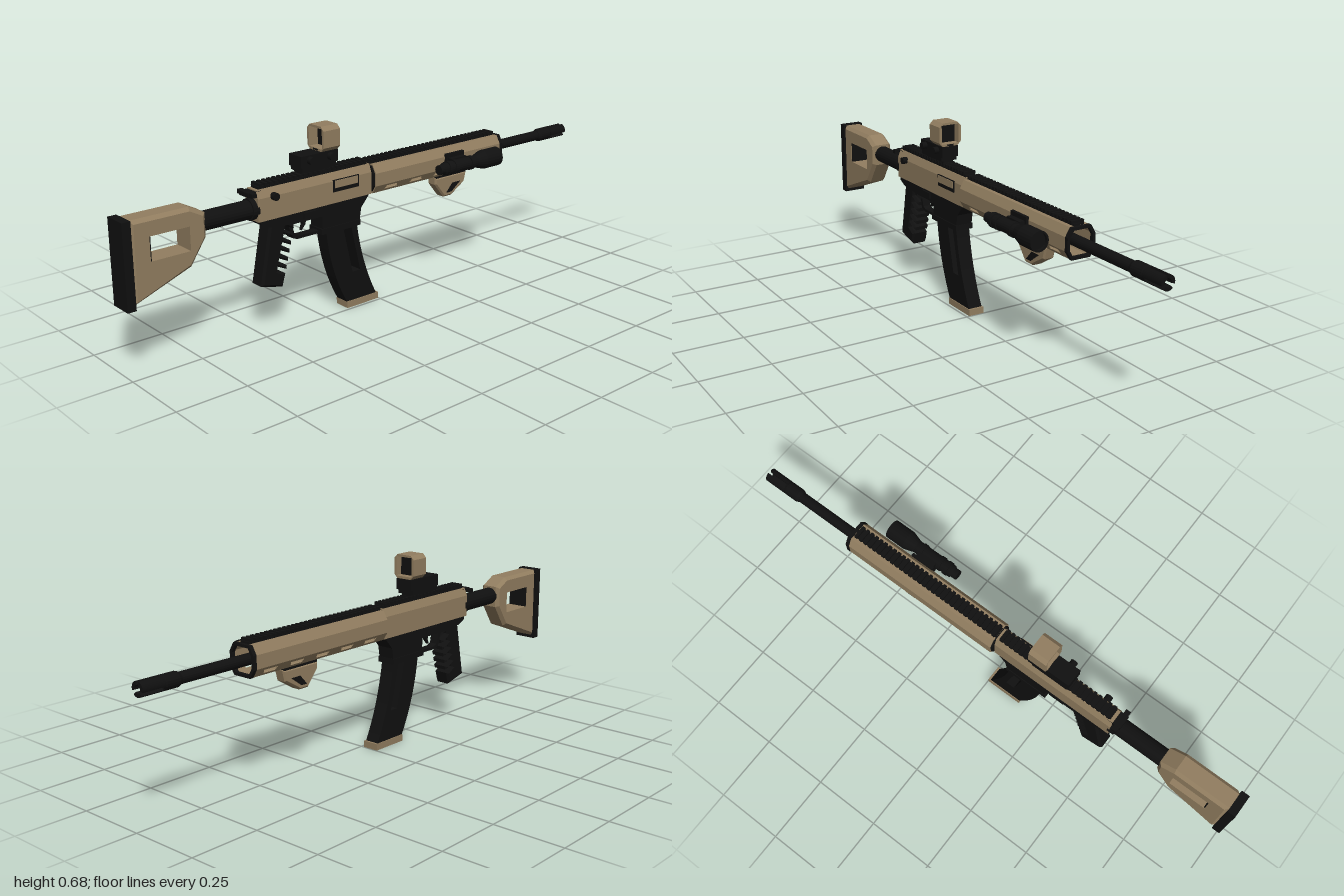
import * as THREE from 'three';

const tan = new THREE.MeshStandardMaterial({ color: 0x927e60, side: THREE.DoubleSide });
tan.name = 'tan polymer';
const black = new THREE.MeshStandardMaterial({ color: 0x101010, side: THREE.DoubleSide });
black.name = 'black metal';

const toShape = (pts) => new THREE.Shape(pts.map((p) => new THREE.Vector2(p[0], p[1])));

export function createModel() {
  const model = new THREE.Group();
  model.name = 'rifle';
  const body = new THREE.Group();
  body.name = 'body';
  body.position.x = -0.041;
  model.add(body);

  const add = (name, geo, mat, x = 0, y = 0, z = 0) => {
    const m = new THREE.Mesh(geo, mat);
    m.name = name;
    m.position.set(x, y, z);
    body.add(m);
    return m;
  };
  const box = (name, mat, w, h, d, x, y, z) => add(name, new THREE.BoxGeometry(w, h, d), mat, x, y, z);

  // side profile in (z, y), extruded across x
  const sideGeo = (pts, width, holes = [], bevel = 0) => {
    const s = toShape(pts);
    holes.forEach((h) => s.holes.push(toShape(h)));
    const depth = width - 2 * bevel;
    const g = new THREE.ExtrudeGeometry(s, {
      depth, bevelEnabled: bevel > 0, bevelSize: bevel, bevelThickness: bevel, bevelOffset: -bevel, bevelSegments: 1,
    });
    return g.translate(0, 0, -depth / 2).rotateY(-Math.PI / 2);
  };
  // cross-section in (x, y), extruded from z0 to z1
  const along = (shape, z0, z1) =>
    new THREE.ExtrudeGeometry(shape, { depth: z1 - z0, bevelEnabled: false, curveSegments: 8 }).translate(0, 0, z0);
  // turned part along z, profile as [radius, z]
  const turned = (name, pts, mat, x, y, seg = 20) => {
    const g = new THREE.LatheGeometry(pts.map((p) => new THREE.Vector2(p[0], p[1])), seg).rotateX(Math.PI / 2);
    const m = add(name, g.toNonIndexed(), mat, x, y, 0);
    m.geometry.computeVertexNormals();
  };
  const rod = (name, r, z0, z1, mat, x, y) =>
    turned(name, [[0, z0], [r, z0], [r, z1], [0, z1]], mat, x, y);

  // stock: chamfered shell with a sharp-edged window
  const stock = sideGeo(
    [[0.972, 0.238], [0.972, 0.51], [0.765, 0.51], [0.708, 0.48], [0.708, 0.40], [0.765, 0.315]], 0.08,
    [[[0.77, 0.37], [0.91, 0.37], [0.91, 0.45], [0.77, 0.45]]], 0.012);
  const p = stock.attributes.position;
  for (let i = 0; i < p.count; i++) {
    const y = p.getY(i), z = p.getZ(i);
    if (z > 0.755 && z < 0.925 && y > 0.355 && y < 0.465) {
      p.setY(i, THREE.MathUtils.clamp(y, 0.37, 0.45));
      p.setZ(i, THREE.MathUtils.clamp(z, 0.77, 0.91));
    }
  }
  stock.computeVertexNormals();
  add('stock', stock, tan);
  box('stockWindowEnd', black, 0.076, 0.08, 0.004, 0, 0.41, 0.908);
  box('buttPad', black, 0.084, 0.285, 0.03, 0, 0.3695, 0.985);
  rod('bufferTube', 0.032, 0.51, 0.72, black, 0, 0.442);
  rod('bufferRing', 0.037, 0.505, 0.53, black, 0, 0.442);

  // upper receiver
  add('upperReceiver', along(toShape([
    [-0.035, 0.402], [0.035, 0.402], [0.035, 0.48], [0.023, 0.508], [-0.023, 0.508], [-0.035, 0.48],
  ]), 0.035, 0.512), tan);
  box('ejectionPort', black, 0.006, 0.042, 0.112, 0.035, 0.463, 0.15);
  box('ejectionCover', tan, 0.008, 0.026, 0.1, 0.036, 0.469, 0.15);
  add('assistKnob', new THREE.CylinderGeometry(0.013, 0.013, 0.02, 12).rotateZ(Math.PI / 2), black, 0.042, 0.48, 0.45);
  box('chargingHandle', black, 0.05, 0.015, 0.05, 0, 0.497, 0.518);
  box('chargingLatch', black, 0.085, 0.014, 0.018, 0, 0.497, 0.53);

  // lower receiver, trigger and guard
  add('lowerReceiver', sideGeo([
    [0.505, 0.415], [0.5, 0.39], [0.47, 0.375], [0.37, 0.365], [0.25, 0.365], [0.25, 0.30],
    [0.09, 0.30], [0.08, 0.36], [0.045, 0.40], [0.045, 0.415],
  ], 0.064), black);
  box('magazineWellBand', black, 0.07, 0.02, 0.17, 0, 0.31, 0.17);
  [-1, 1].forEach((s) => box('controlPlate', black, 0.006, 0.02, 0.06, s * 0.034, 0.385, 0.3));
  add('triggerGuard', sideGeo([
    [0.385, 0.37], [0.365, 0.31], [0.345, 0.302], [0.245, 0.302], [0.245, 0.312], [0.34, 0.312], [0.355, 0.32], [0.37, 0.37],
  ], 0.03), black);
  add('trigger', sideGeo([[0.32, 0.37], [0.3, 0.37], [0.303, 0.345], [0.32, 0.325], [0.313, 0.345]], 0.014), black);

  // pistol grip with slanted finger grooves
  const grip = [[0.37, 0.385], [0.465, 0.385], [0.505, 0.175], [0.418, 0.153]];
  for (let i = 0; i < 6; i++) {
    const y = 0.205 + i * 0.027, z = 0.41 - i * 0.007;
    grip.push([z - 0.005, y - 0.007], [z + 0.028, y + 0.012], [z + 0.026, y + 0.024], [z - 0.01, y + 0.007]);
  }
  add('pistolGrip', sideGeo(grip, 0.064, [], 0.008), black);

  // curved magazine with a through slot
  const v = (x, y) => new THREE.Vector2(x, y);
  const back = new THREE.QuadraticBezierCurve(v(0.232, 0.31), v(0.215, 0.15), v(0.142, 0.02)).getPoints(8);
  const front = new THREE.QuadraticBezierCurve(v(0.008, 0.02), v(0.075, 0.15), v(0.097, 0.31)).getPoints(8);
  const outline = [...back, ...front].map((q) => [q.x, q.y]);
  const slot = [[0.155, 0.295], [0.12, 0.295], [0.082, 0.13], [0.117, 0.13]];
  add('magazine', sideGeo(outline, 0.054, [slot]), black);
  box('magazineBase', tan, 0.06, 0.024, 0.142, 0, 0.012, 0.073);

  // hollow octagonal handguard, slots in the lower chamfers
  const oct = [[-0.035, 0.402], [0.035, 0.402], [0.052, 0.43], [0.052, 0.476], [0.035, 0.505],
    [-0.035, 0.505], [-0.052, 0.476], [-0.052, 0.43]];
  oct.forEach((a, i) => {
    const b = oct[(i + 1) % 8];
    const w = Math.hypot(b[0] - a[0], b[1] - a[1]), len = 0.62;
    const s = toShape([[0, 0], [len, 0], [len, w], [0, w]]);
    if (i === 1 || i === 7) {
      for (let k = 0; k < 5; k++) {
        const z = 0.05 + k * 0.118;
        s.holes.push(toShape([[z, 0.01], [z + 0.06, 0.01], [z + 0.055, w - 0.008], [z + 0.005, w - 0.008]]));
      }
    }
    const g = new THREE.ExtrudeGeometry(s, { depth: 0.004, bevelEnabled: false }).translate(0, 0, -0.004);
    g.rotateY(Math.PI / 2).translate(0, 0, 0.03); // length runs toward -z, width along y, outside faces +x
    g.rotateZ(Math.atan2(b[1] - a[1], b[0] - a[0]) - Math.PI / 2).translate(a[0], a[1], 0);
    add('handguardPanel', g, tan);
  });
  const ring = (scale) => oct.map(([x, y]) => [x * scale, 0.4535 + (y - 0.4535) * scale]);
  const rim = toShape(ring(1.02));
  rim.holes.push(toShape(ring(0.84)));
  add('handguardRim', along(rim, -0.602, -0.588), black);
  add('handguardCollar', along(toShape(ring(0.9)), 0.01, 0.036), black);

  // top rails with cross teeth
  const rail = (name, z0, z1, y) => {
    box(name, black, 0.04, 0.012, z1 - z0, 0, y, (z0 + z1) / 2);
    const n = Math.round((z1 - z0) / 0.02);
    for (let i = 0; i < n; i++) box(name + 'Tooth', black, 0.048, 0.011, 0.011, 0, y + 0.009, z0 + 0.01 + (i * (z1 - z0 - 0.02)) / (n - 1));
  };
  rail('receiverRail', 0.045, 0.5, 0.511);
  rail('handguardRail', -0.585, 0.03, 0.505);

  // barrel and pronged muzzle
  rod('barrel', 0.019, -0.87, 0.02, black, 0, 0.452);
  turned('muzzleBase', [[0, -0.92], [0.022, -0.92], [0.025, -0.91], [0.025, -0.862], [0.02, -0.85], [0, -0.85]], black, 0, 0.452);
  for (let k = 0; k < 3; k++) {
    const a0 = Math.PI / 2 + 0.28 + (k * Math.PI * 2) / 3, a1 = a0 + 1.53;
    const s = new THREE.Shape();
    s.absarc(0, 0, 0.025, a0, a1, false);
    s.absarc(0, 0, 0.013, a1, a0, true);
    add('muzzleProng', along(s, -1, -0.915), black, 0, 0.452);
  }

  // optic: clamp, base, hood and glass
  box('opticFoot', black, 0.04, 0.02, 0.13, 0, 0.53, 0.26);
  box('opticClamp', black, 0.064, 0.016, 0.14, 0, 0.541, 0.26);
  box('opticBase', black, 0.066, 0.04, 0.155, 0, 0.568, 0.258);
  box('opticNeck', black, 0.028, 0.016, 0.07, 0, 0.588, 0.215);
  [0.215, 0.3].forEach((z) => add('opticKnob', new THREE.CylinderGeometry(0.013, 0.013, 0.022, 12).rotateZ(Math.PI / 2), black, 0.04, 0.571, z));
  const hood = toShape([[-0.03, 0.589], [0.03, 0.589], [0.044, 0.603], [0.044, 0.661], [0.03, 0.675],
    [-0.03, 0.675], [-0.044, 0.661], [-0.044, 0.603]]);
  hood.holes.push(toShape([[-0.035, 0.598], [0.035, 0.598], [0.035, 0.667], [-0.035, 0.667]]));
  add('opticHood', along(hood, 0.18, 0.25), tan);
  box('opticGlass', black, 0.07, 0.069, 0.005, 0, 0.6325, 0.21);

  // side lamp and its mount
  turned('lamp', [[0, -0.51], [0.028, -0.51], [0.028, -0.52], [0.035, -0.52], [0.035, -0.445], [0.023, -0.405],
    [0.023, -0.25], [0.018, -0.245], [0.018, -0.225], [0, -0.225]], black, 0.099, 0.45);
  [-0.27, -0.3, -0.38].forEach((z) => rod('lampBand', 0.026, z - 0.008, z + 0.008, black, 0.099, 0.45));
  box('lampMount', black, 0.03, 0.045, 0.075, 0.066, 0.45, -0.345);
  box('lampMountPlate', black, 0.012, 0.07, 0.09, 0.055, 0.452, -0.345);

  // angled foregrip
  box('foregripClamp', black, 0.042, 0.016, 0.15, 0, 0.396, -0.365);
  add('foregrip', sideGeo([
    [-0.285, 0.39], [-0.285, 0.365], [-0.33, 0.31], [-0.37, 0.31], [-0.435, 0.35], [-0.445, 0.39],
  ], 0.044, [], 0.006), tan);
  [-1, 1].forEach((s) => add('foregripRecess', sideGeo([[-0.34, 0.325], [-0.365, 0.325], [-0.41, 0.358], [-0.37, 0.358]], 0.004), black, s * 0.022));
  return model;
}
